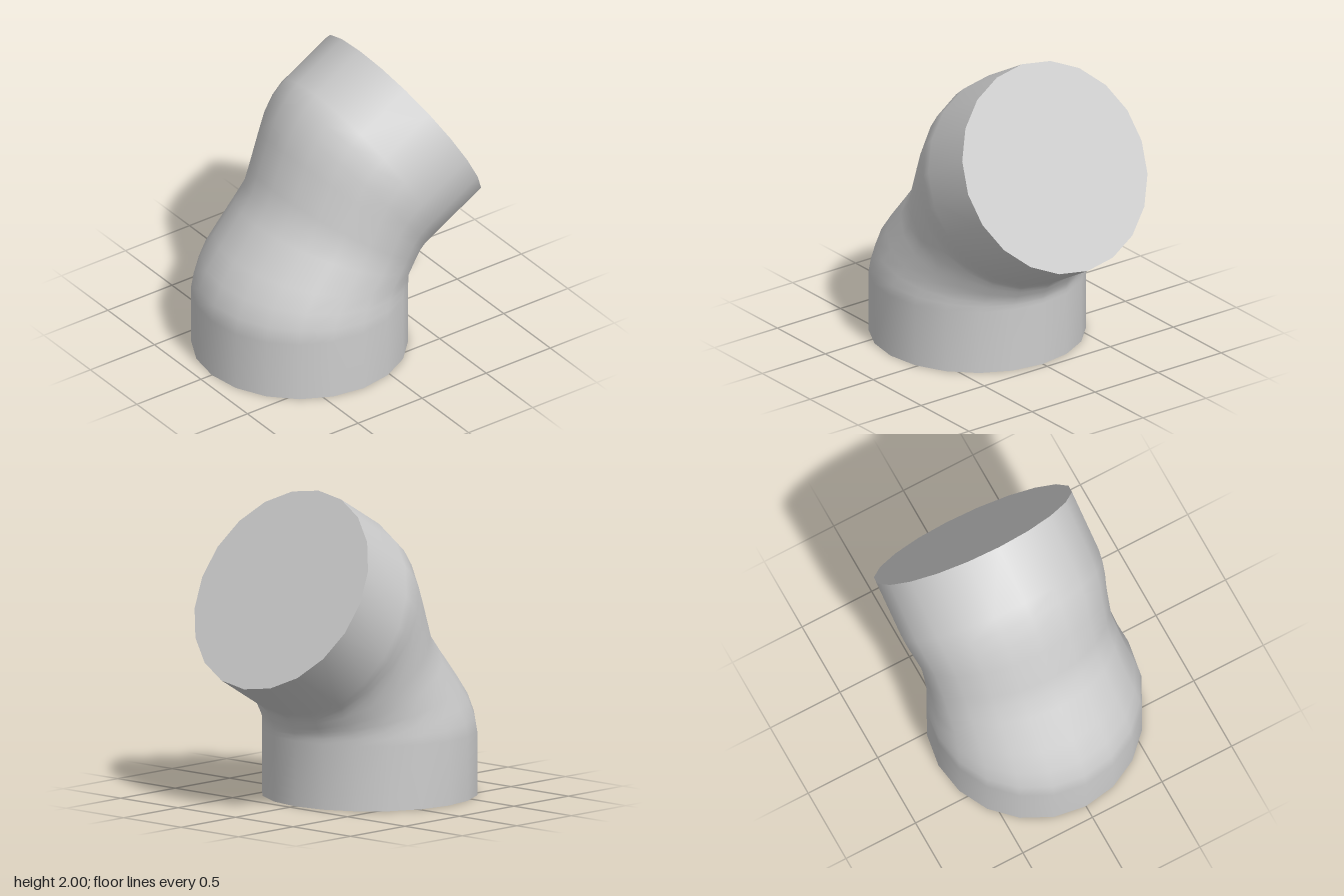
import * as THREE from 'three';

const SIDES = 20;

// Mirror plane of the bend, seen from the side as a line in (z, y)
const MID = [0.005, 0.806];
const DIR = [Math.cos(Math.PI / 6), Math.sin(Math.PI / 6)];

function reflect([z, y]) {
  const dz = z - MID[0], dy = y - MID[1];
  const along = dz * DIR[0] + dy * DIR[1];
  return [MID[0] + 2 * along * DIR[0] - dz, MID[1] + 2 * along * DIR[1] - dy];
}

// Lower half: front point (z, y), back point (z, y), half width
const lower = [
  [[0.915, 0], [-0.455, 0], 0.688],
  [[0.915, 0.4], [-0.455, 0.42], 0.688],
  [[0.895, 0.51], [-0.457, 0.45], 0.68],
  [[0.84, 0.64], [-0.462, 0.47], 0.665],
  [[0.74, 0.78], [-0.47, 0.49], 0.647],
  [[0.57, 0.985], [-0.478, 0.508], 0.635],
];
const middle = [[0.49, 1.086], [-0.487, 0.522], 0.63];
const upper = lower.map(([f, b, w]) => [reflect(f), reflect(b), w]).reverse();
const sections = [...lower, middle, ...upper];

// Points of one elliptical cross-section
function ring([f, b, w]) {
  const pts = [];
  for (let j = 0; j < SIDES; j++) {
    const a = (j / SIDES) * Math.PI * 2;
    const t = (1 + Math.cos(a)) / 2;
    pts.push(w * Math.sin(a), b[1] + (f[1] - b[1]) * t, b[0] + (f[0] - b[0]) * t);
  }
  return pts;
}

function build(positions, index) {
  const g = new THREE.BufferGeometry();
  g.setAttribute('position', new THREE.Float32BufferAttribute(positions, 3));
  g.setIndex(index);
  g.computeVertexNormals();
  return g;
}

// Smooth wall through all cross-sections
function wallGeometry() {
  const index = [];
  for (let i = 0; i < sections.length - 1; i++) {
    for (let j = 0; j < SIDES; j++) {
      const k = (j + 1) % SIDES;
      const a = i * SIDES + j, b = i * SIDES + k;
      index.push(a, b, b + SIDES, a, b + SIDES, a + SIDES);
    }
  }
  return build(sections.flatMap(ring), index);
}

// Flat end cap as a fan
function capGeometry(section, flip) {
  const index = [];
  for (let j = 1; j < SIDES - 1; j++) index.push(0, flip ? j + 1 : j, flip ? j : j + 1);
  return build(ring(section), index);
}

export function createModel() {
  const group = new THREE.Group();
  group.name = 'bentPipe';
  const grey = new THREE.MeshStandardMaterial({ color: 0xcccccc });
  grey.name = 'light grey';
  const add = (name, geometry) => {
    const mesh = new THREE.Mesh(geometry, grey);
    mesh.name = name;
    group.add(mesh);
  };
  add('elbowWall', wallGeometry());
  add('bottomCap', capGeometry(sections[0], true));
  add('topCap', capGeometry(sections[sections.length - 1], false));
  return group;
}
